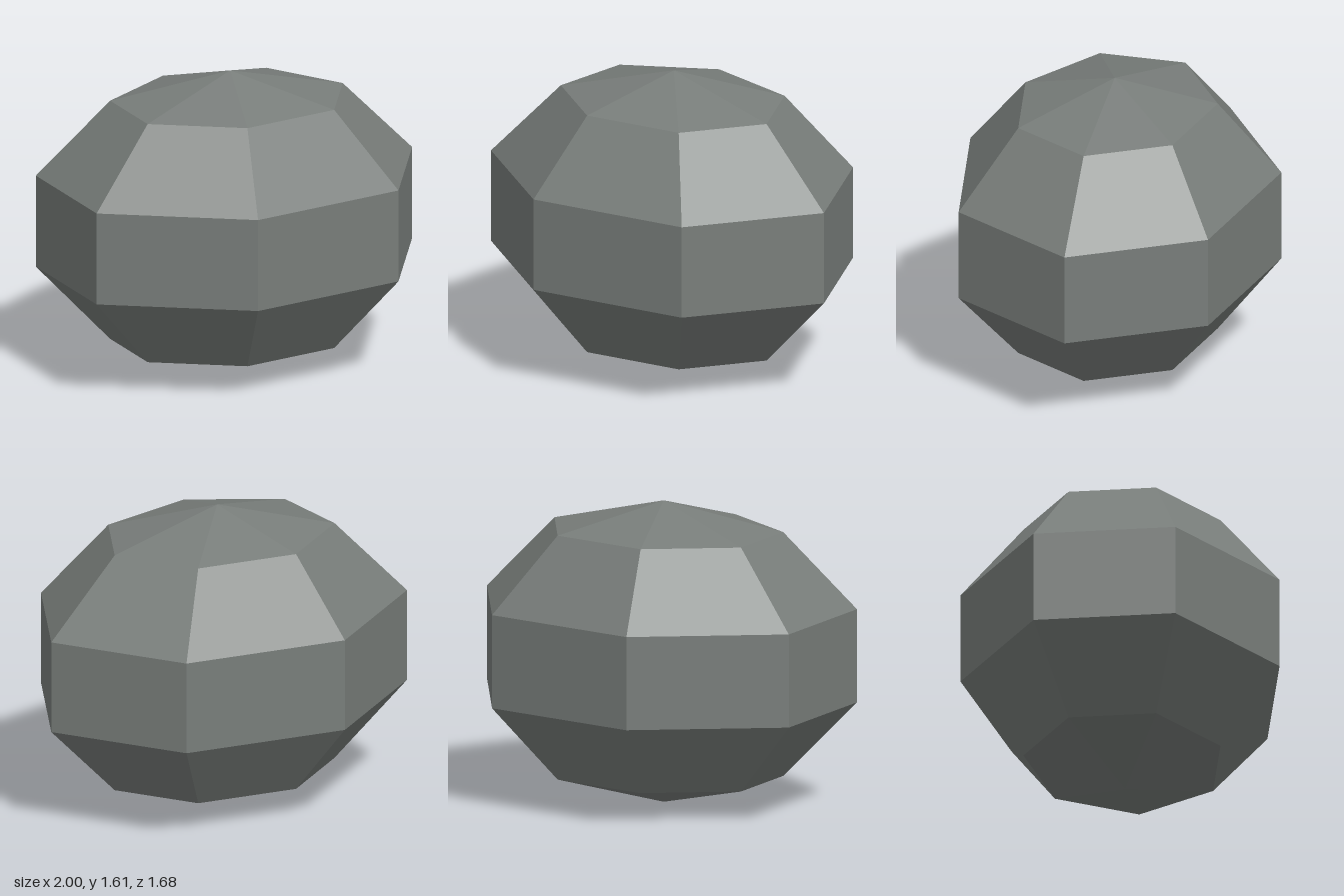
import * as THREE from 'three';

export function createModel() {
  const group = new THREE.Group();
  group.name = 'boulder';

  const stone = new THREE.MeshStandardMaterial({ color: 0x787d7a, flatShading: true });
  stone.name = 'stone grey';

  // Seven-sided, five-ring sphere with one corner pointing to +x
  const sphere = new THREE.SphereGeometry(1, 7, 5, Math.PI);

  // Squash into an ellipsoid, rest it on the ground and centre its width
  sphere.scale(1.106, 0.805, 0.906);
  sphere.translate(-0.052, 0.805, 0);

  // Split faces so that every facet is flat
  const geometry = sphere.toNonIndexed();
  geometry.computeVertexNormals();

  const rock = new THREE.Mesh(geometry, stone);
  rock.name = 'rock';
  group.add(rock);
  return group;
}
